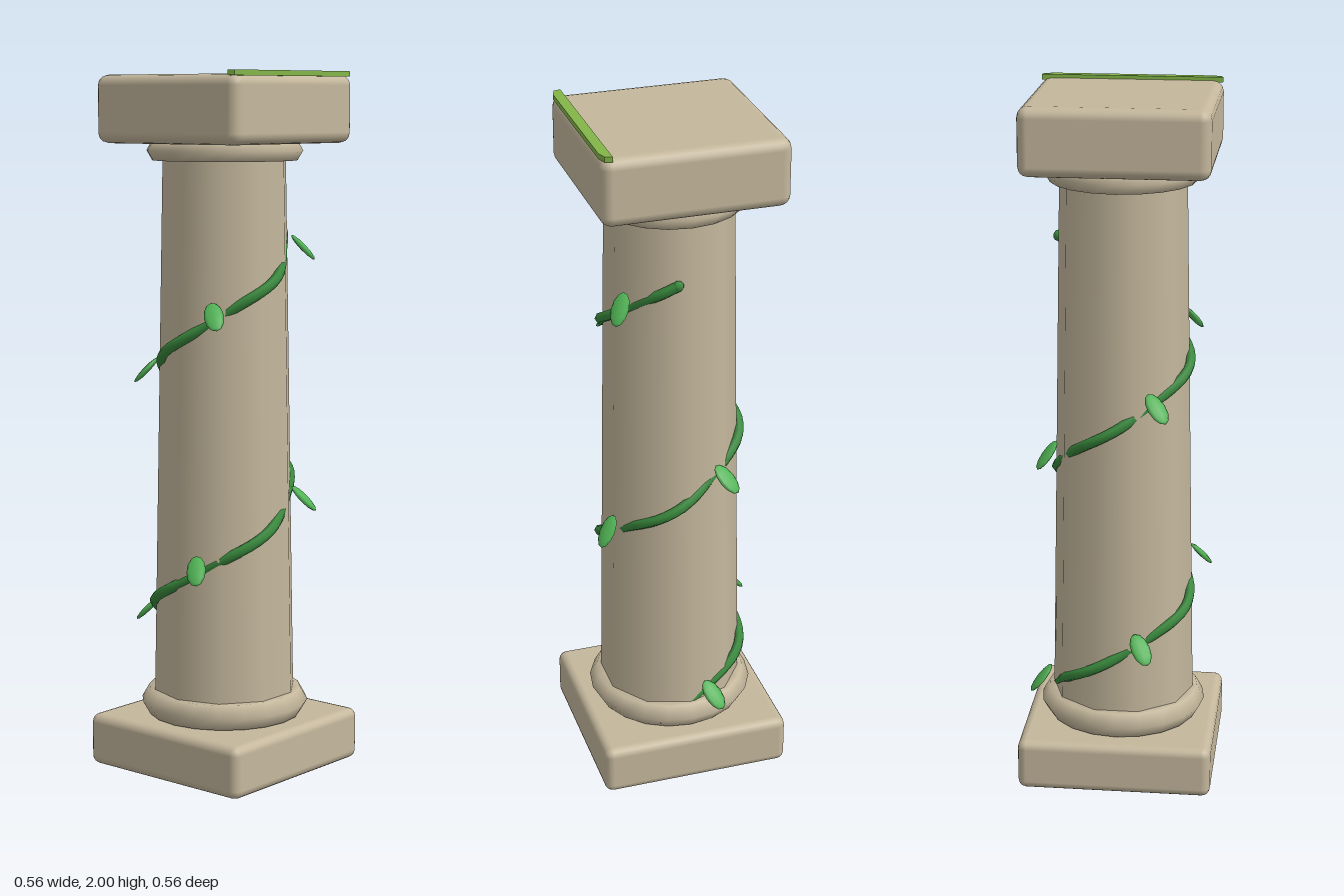
import * as THREE from 'three';
import { RoundedBoxGeometry } from 'three/addons/geometries/RoundedBoxGeometry.js';

const material = (name, color) => {
  const m = new THREE.MeshStandardMaterial({ color });
  m.name = name;
  return m;
};

export function createModel() {
  const model = new THREE.Group();
  model.name = 'vineColumn';
  const body = new THREE.Group();
  body.name = 'column';
  body.position.z = 0.003;
  model.add(body);

  const stone = material('stone', 0xc4b79c);
  const vineGreen = material('vine green', 0x398a3d);
  const leafGreen = material('leaf green', 0x50b254);
  const mossGreen = material('moss green', 0x83b548);

  const add = (name, geometry, mat, y = 0) => {
    const mesh = new THREE.Mesh(geometry, mat);
    mesh.name = name;
    mesh.position.y = y;
    body.add(mesh);
    return mesh;
  };

  // Square slabs at the foot and the head
  add('base', new RoundedBoxGeometry(0.56, 0.15, 0.56, 2, 0.025), stone, 0.075);
  add('capital', new RoundedBoxGeometry(0.52, 0.19, 0.52, 2, 0.03), stone, 1.895);

  // Ten-sided tapered shaft
  const bottomY = 0.14, topY = 1.82, bottomR = 0.209, topR = 0.178;
  add('shaft', new THREE.CylinderGeometry(topR, bottomR, topY - bottomY, 10), stone, (bottomY + topY) / 2);

  // Rounded collars
  const collar = (name, radius, tube, y) => {
    const g = new THREE.TorusGeometry(radius, tube, 6, 20);
    g.rotateX(Math.PI / 2);
    add(name, g, stone, y);
  };
  collar('baseCollar', 0.2, 0.042, 0.19);
  collar('neckCollar', 0.19, 0.032, 1.78);

  // Moss strip along the left edge of the capital, with clipped outer corners
  const strip = new THREE.Shape([
    [0.23, -0.258], [0.25, -0.252], [0.259, -0.225],
    [0.259, 0.225], [0.25, 0.252], [0.23, 0.258],
  ].map(([x, y]) => new THREE.Vector2(x, y)));
  const mossGeometry = new THREE.ExtrudeGeometry(strip, { depth: 0.015, bevelEnabled: false });
  mossGeometry.rotateX(-Math.PI / 2);
  add('moss', mossGeometry, mossGreen, 1.985);

  // Vine winding up the shaft, dipping into the stone at each leaf; angles run from +z to +x
  const startAngle = -205, endAngle = 530;
  const vineY = (deg) => 0.17 + (deg - startAngle) * 1.41 / (endAngle - startAngle);
  const shaftR = (y) => THREE.MathUtils.lerp(bottomR, topR, (y - bottomY) / (topY - bottomY)) - 0.004;
  const onShaft = (deg, y, out) => {
    const a = THREE.MathUtils.degToRad(deg), r = shaftR(y) + out;
    return new THREE.Vector3(Math.sin(a) * r, y, Math.cos(a) * r);
  };
  const leafAngle = (i) => -165 + 93 * i;
  const points = [];
  for (let deg = startAngle; deg <= endAngle; deg += 15) {
    const phase = (deg - leafAngle(0)) / 93 * Math.PI * 2;
    points.push(onShaft(deg, vineY(deg), -0.002 - 0.014 * Math.cos(phase)));
  }
  const path = new THREE.CatmullRomCurve3(points);
  add('vine', new THREE.TubeGeometry(path, 110, 0.015, 6), vineGreen);
  const tip = add('vineTip', new THREE.SphereGeometry(0.016, 6, 5), vineGreen);
  tip.position.copy(points[points.length - 1]);

  // Flat drooping leaves
  const leafGeometry = new THREE.SphereGeometry(1, 8, 6);
  leafGeometry.scale(0.028, 0.05, 0.009);
  for (let i = 0; i < 8; i++) {
    const deg = leafAngle(i), y = vineY(deg) + 0.012;
    const leaf = add('leaf', leafGeometry, leafGreen);
    leaf.position.copy(onShaft(deg, y, 0.043));
    leaf.rotation.set(-0.75, THREE.MathUtils.degToRad(deg), 0.25, 'YXZ');
  }

  return model;
}
